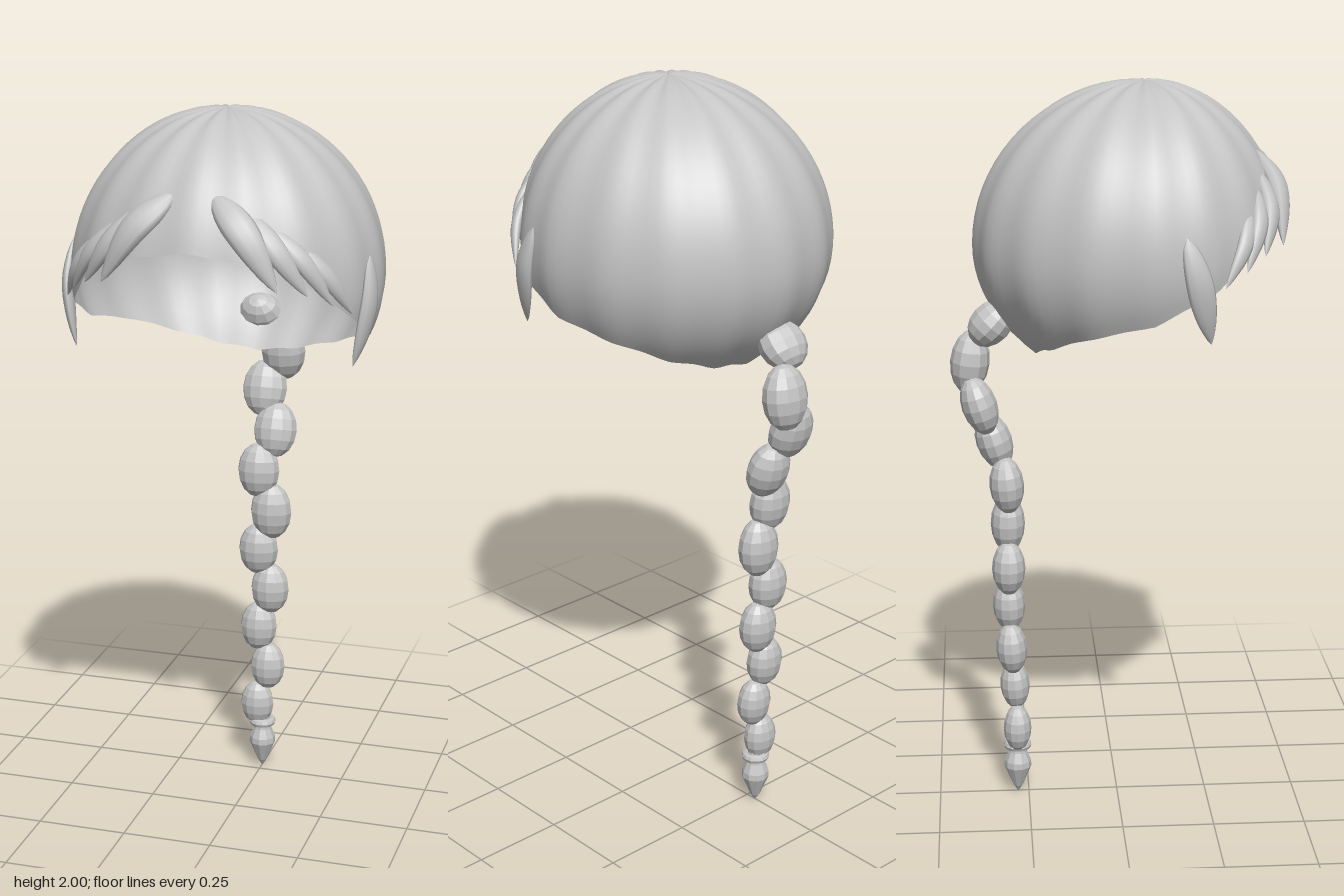
import * as THREE from 'three';

const CENTRE = new THREE.Vector3(0, 1.57, 0.07);
const RX = 0.408, FRONT = 0.368, BACK = 0.447, UP = 0.428, DOWN = 0.37;

// Surface from rows of points; each row closes on itself, outward when rows run from top to tip.
function loft(rows) {
  const n = rows[0].length, pos = [], idx = [];
  rows.forEach(r => r.forEach(p => pos.push(p.x, p.y, p.z)));
  for (let i = 0; i < rows.length - 1; i++) {
    for (let j = 0; j < n; j++) {
      const k = (j + 1) % n, a = i * n + j, b = i * n + k, c = a + n, d = b + n;
      idx.push(a, c, b, b, c, d);
    }
  }
  const g = new THREE.BufferGeometry();
  g.setAttribute('position', new THREE.Float32BufferAttribute(pos, 3));
  g.setIndex(idx);
  g.computeVertexNormals();
  return g;
}

// Rim height by angle from the front, in degrees
const RIM = [[0, 1.69], [32, 1.655], [49, 1.585], [65, 1.51], [90, 1.43], [115, 1.385], [135, 1.34], [158, 1.303], [180, 1.29]];
function rimHeight(angle) {
  let a = Math.abs(THREE.MathUtils.radToDeg(angle));
  if (a > 180) a = 360 - a;
  for (let i = 1; i < RIM.length; i++) {
    const [a0, y0] = RIM[i - 1], [a1, y1] = RIM[i];
    if (a <= a1 + 1e-6) return y0 + (y1 - y0) * (a - a0) / (a1 - a0);
  }
  return 1.29;
}

// Point on the dome: angle from the front, phi down from the crown
function domePoint(angle, phi, flute) {
  const c = Math.cos(phi), s = Math.sin(phi);
  const k = 1 + flute * Math.cos(16 * angle) * Math.min(1, phi * 4);
  return new THREE.Vector3(
    RX * s * Math.sin(angle) * k,
    CENTRE.y + (c > 0 ? UP : DOWN) * c * (1 + (k - 1) * 0.8),
    CENTRE.z + (Math.cos(angle) > 0 ? FRONT : BACK) * s * Math.cos(angle) * k);
}

function capGeometry() {
  const rows = [], N = 96, M = 28;
  for (let i = 0; i <= M; i++) {
    const row = [];
    for (let j = 0; j < N; j++) {
      const a = j / N * Math.PI * 2;
      const v = rimHeight(a) - CENTRE.y;
      const end = Math.acos(v / (v > 0 ? UP : DOWN));
      row.push(domePoint(a, 0.002 + (end - 0.002) * i / M, 0.009));
    }
    rows.push(row);
  }
  return loft(rows);
}

// Front dome point for a given x and y, lifted outward
function onDome(x, y, out) {
  const v = y - CENTRE.y, phi = Math.acos(v / (v > 0 ? UP : DOWN));
  const s = Math.min(0.97, x / (RX * Math.sin(phi)));
  const p = domePoint(Math.asin(s), phi, 0);
  return p.add(p.clone().sub(CENTRE).normalize().multiplyScalar(out));
}

// Flattened pointed lock of hair swept along a curve
function lockGeometry(points, width, thick, side) {
  const curve = new THREE.CatmullRomCurve3(points.map(p => new THREE.Vector3(p.x * side, p.y, p.z)));
  const rows = [], M = 14, N = 10;
  for (let i = 0; i <= M; i++) {
    const t = i / M, p = curve.getPoint(t), tan = curve.getTangent(t);
    const across = tan.clone().cross(p.clone().sub(CENTRE)).normalize();
    const out = across.clone().cross(tan).normalize();
    const f = Math.max(0.01, Math.pow(Math.sin(Math.PI * Math.pow(t, 0.8)), 0.75));
    const row = [];
    for (let j = 0; j < N; j++) {
      const a = -j / N * Math.PI * 2;
      row.push(p.clone().addScaledVector(across, Math.cos(a) * width * f)
        .addScaledVector(out, Math.sin(a) * thick * f));
    }
    rows.push(row);
  }
  return loft(rows);
}

export function createModel() {
  const model = new THREE.Group();
  model.name = 'braidedHair';
  const hair = new THREE.MeshStandardMaterial({ color: 0xc4c4c4, side: THREE.DoubleSide });
  hair.name = 'hairGrey';
  const braidHair = hair.clone();
  braidHair.flatShading = true;
  const add = (name, geometry, material, parent = model) => {
    const mesh = new THREE.Mesh(geometry, material);
    mesh.name = name;
    parent.add(mesh);
    return mesh;
  };

  // Open fluted dome
  add('hairCap', capGeometry(), hair);

  // Fringe locks and temple locks, mirrored
  const fringe = [
    [[[0.05, 1.83, -0.01], [0.135, 1.73, 0.018], [0.21, 1.6, 0.03]], 0.042, 0.024],
    [[[0.14, 1.79, -0.01], [0.21, 1.69, 0.012], [0.275, 1.585, 0.02]], 0.03, 0.018],
    [[[0.2, 1.75, -0.01], [0.27, 1.66, 0.01], [0.325, 1.555, 0.02]], 0.026, 0.016],
    [[[0.26, 1.71, -0.01], [0.32, 1.62, 0.008], [0.36, 1.525, 0.02]], 0.024, 0.015],
  ];
  for (const side of [1, -1]) {
    const label = side > 0 ? 'left' : 'right';
    for (const [pts, w, t] of fringe) {
      add(label + 'FringeLock', lockGeometry(pts.map(p => onDome(...p)), w, t, side), hair);
    }
    const temple = [[0.395, 1.655, 0.145], [0.403, 1.55, 0.175], [0.39, 1.46, 0.195], [0.37, 1.38, 0.212]]
      .map(p => new THREE.Vector3(...p));
    add(label + 'TempleLock', lockGeometry(temple, 0.036, 0.016, side), hair);
  }

  // Braid of alternating beads: x, y, z, half width, half height, half depth, lean
  const braid = new THREE.Group();
  braid.name = 'braid';
  model.add(braid);
  const beads = [
    [-0.022, 1.365, -0.335, 0.068, 0.07, 0.055, 0.75],
    [0.025, 1.25, -0.393, 0.065, 0.088, 0.053, 0.12],
    [-0.022, 1.14, -0.37, 0.065, 0.082, 0.048, -0.3],
    [0.02, 1.03, -0.332, 0.063, 0.08, 0.049, -0.3],
    [-0.02, 0.915, -0.3, 0.061, 0.079, 0.047, -0.08],
    [0.018, 0.795, -0.298, 0.06, 0.083, 0.047, 0],
    [-0.019, 0.677, -0.298, 0.058, 0.076, 0.046, 0],
    [0.016, 0.558, -0.298, 0.056, 0.075, 0.045, -0.03],
    [-0.016, 0.44, -0.293, 0.054, 0.073, 0.043, -0.06],
    [0.014, 0.32, -0.285, 0.051, 0.07, 0.041, -0.06],
    [-0.016, 0.2, -0.28, 0.049, 0.067, 0.039, 0],
  ];
  for (const [x, y, z, rx, ry, rz, lean] of beads) {
    const bead = add('braidStrand', new THREE.SphereGeometry(1, 12, 8), braidHair, braid);
    bead.position.set(x, y, z);
    bead.scale.set(rx, ry, rz);
    bead.rotation.x = lean;
  }

  // Hair tie and pointed tail end
  const tie = add('hairTie', new THREE.TorusGeometry(0.027, 0.012, 8, 14), braidHair, braid);
  tie.rotation.x = Math.PI / 2;
  tie.position.set(0, 0.143, -0.28);
  const tail = [[0.001, 0], [0.013, 0.018], [0.038, 0.078], [0.037, 0.095], [0.026, 0.122], [0.02, 0.16]]
    .map(p => new THREE.Vector2(...p));
  add('tailEnd', new THREE.LatheGeometry(tail, 10), braidHair, braid).position.z = -0.28;

  return model;
}
